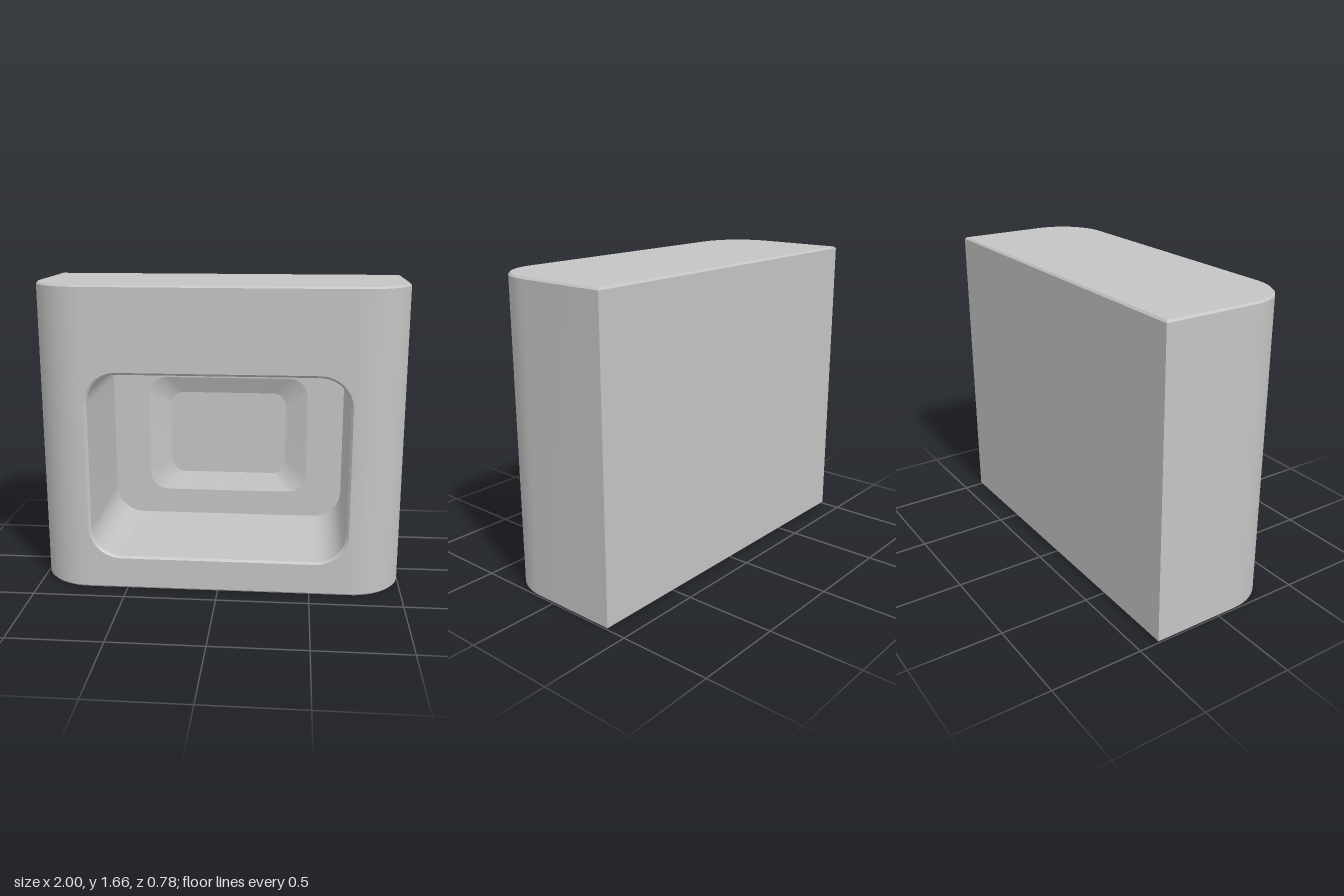
import * as THREE from 'three';
import { toCreasedNormals } from 'three/addons/utils/BufferGeometryUtils.js';

const H = 1.665, HALF_D = 0.39, BEVEL = 0.01, CORNER = 0.28;
const ARC = 14; // segments per rounded corner

// Points of a quarter arc around (cx, cy), starting at angle a
function arc(cx, cy, r, a, sweep) {
  const pts = [];
  for (let i = 0; i <= ARC; i++) {
    const t = a + (sweep * i) / ARC;
    pts.push([cx + r * Math.cos(t), cy + r * Math.sin(t)]);
  }
  return pts;
}

// Body footprint as [x, z]: square at the back, rounded at the front
function footprint(inset) {
  const x = 1 - CORNER, z = HALF_D - CORNER, r = CORNER - inset, b = -HALF_D + inset;
  return [
    [-1 + inset, b],
    ...arc(-x, z, r, Math.PI, -Math.PI / 2),
    ...arc(x, z, r, Math.PI / 2, -Math.PI / 2),
    [1 - inset, b],
  ];
}

// Rounded rectangle as [x, y], counterclockwise from the front
function roundedRect(hx, y0, y1, r) {
  const q = Math.PI / 2;
  return [
    ...arc(hx - r, y0 + r, r, -q, q),
    ...arc(hx - r, y1 - r, r, 0, q),
    ...arc(-hx + r, y1 - r, r, q, q),
    ...arc(-hx + r, y0 + r, r, 2 * q, q),
  ];
}

// Skin a stack of closed loops; skip(level, i) leaves a quad open
function loft(loops, skip = () => false) {
  const pos = [];
  const n = loops[0].length;
  for (let l = 0; l < loops.length - 1; l++) {
    for (let i = 0; i < n; i++) {
      if (skip(l, i)) continue;
      const j = (i + 1) % n, a = loops[l], b = loops[l + 1];
      pos.push(...a[i], ...a[j], ...b[j], ...a[i], ...b[j], ...b[i]);
    }
  }
  const g = new THREE.BufferGeometry();
  g.setAttribute('position', new THREE.Float32BufferAttribute(pos, 3));
  return toCreasedNormals(g, 0.26);
}

const toShape = (pts) => new THREE.Shape(pts.map(([x, y]) => new THREE.Vector2(x, y)));

export function createModel() {
  const group = new THREE.Group();
  const grey = new THREE.MeshStandardMaterial({ color: 0xc4c4c4 });
  grey.name = 'light grey';
  const add = (name, geometry) => {
    const mesh = new THREE.Mesh(geometry, grey);
    mesh.name = name;
    group.add(mesh);
  };

  // Outer walls with small bevels at top and bottom, open where the front panel sits
  const ring = (inset, y) => footprint(inset).map(([x, z]) => [x, y, z]);
  add('outerWalls', loft(
    [ring(BEVEL, 0), ring(0, BEVEL), ring(0, H - BEVEL), ring(BEVEL, H)],
    (level, i) => level === 1 && i === ARC + 1,
  ));

  // Top and bottom caps
  const cap = footprint(BEVEL);
  add('top', new THREE.ShapeGeometry(toShape(cap.map(([x, z]) => [x, -z])))
    .rotateX(-Math.PI / 2).translate(0, H, 0));
  add('bottom', new THREE.ShapeGeometry(toShape(cap)).rotateX(Math.PI / 2));

  // Flat front panel around the opening
  const px = 1 - CORNER;
  const opening = roundedRect(0.706, 0.175, 1.213, 0.175);
  const panel = toShape([[-px, BEVEL], [px, BEVEL], [px, H - BEVEL], [-px, H - BEVEL]]);
  panel.holes.push(toShape(opening));
  add('frontPanel', new THREE.ShapeGeometry(panel).translate(0, 0, HALF_D));

  // Cavity: bevelled rim, deep walls, back wall, sloped recess
  const at = (pts, z) => pts.map(([x, y]) => [x, y, z]);
  const inner = roundedRect(0.694, 0.187, 1.201, 0.163);
  const recess = roundedRect(0.48, 0.34, 1.05, 0.11);
  const floor = roundedRect(0.35, 0.445, 0.95, 0.08);
  const WALL_Z = -0.335, FLOOR_Z = -0.38;
  add('openingRim', loft([at(opening, HALF_D), at(inner, HALF_D - 0.012)]));
  add('cavityWalls', loft([at(inner, HALF_D - 0.012), at(inner, WALL_Z)]));
  add('cavityBack', loft([at(inner, WALL_Z), at(recess, WALL_Z)]));
  add('recessSlopes', loft([at(recess, WALL_Z), at(floor, FLOOR_Z)]));
  add('recessFloor', new THREE.ShapeGeometry(toShape(floor)).translate(0, 0, FLOOR_Z));

  return group;
}
